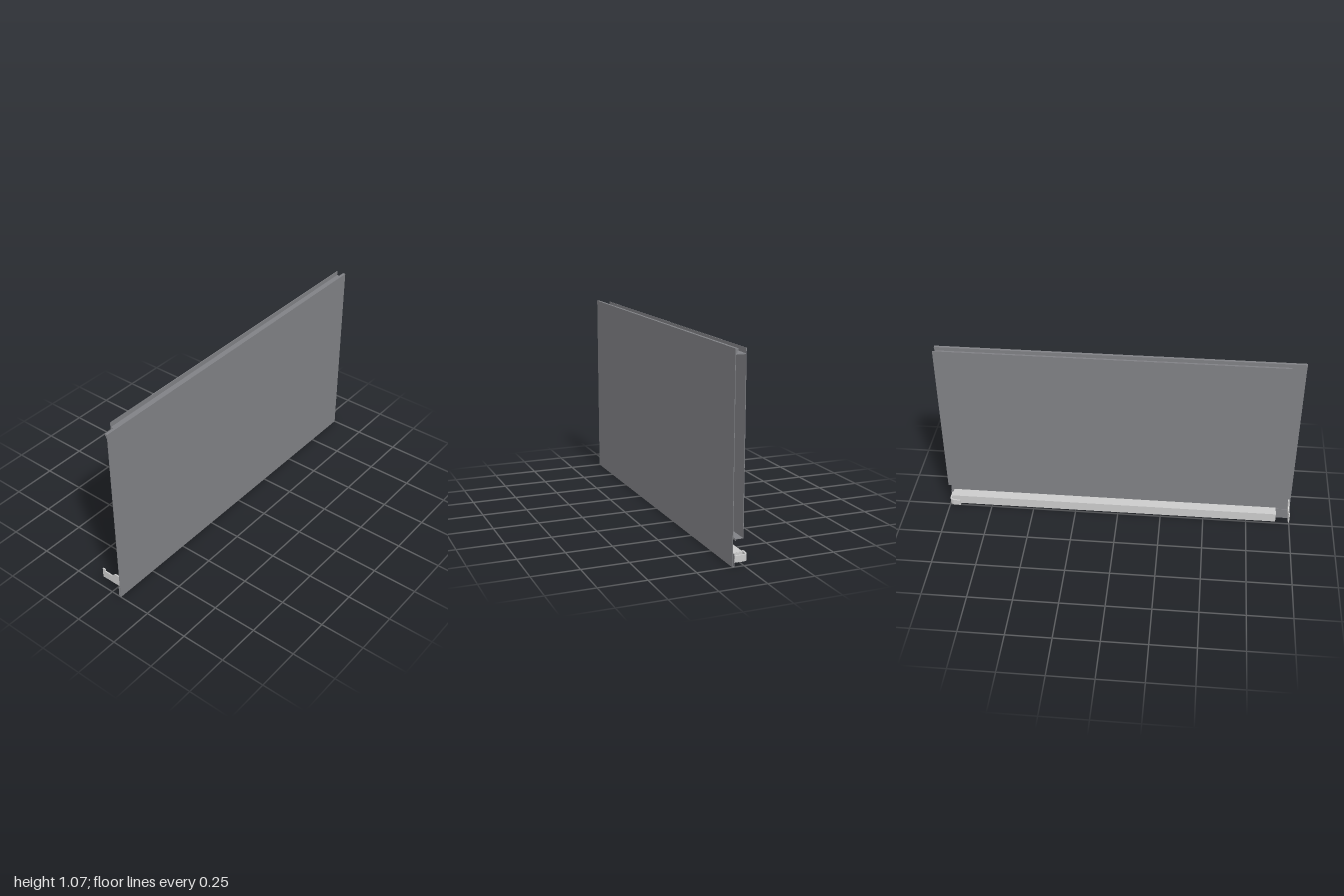
import * as THREE from 'three';

const paint = (color) => new THREE.MeshStandardMaterial({ color, side: THREE.DoubleSide });
const darkPaint = paint(0x808185);
const lightPaint = paint(0xe8e9ea);
const midPaint = paint(0xc2c3c5);

const vectors = (points) => points.map(([x, y]) => new THREE.Vector2(x, y));

// Closed outline of a folded sheet: the polyline plus its mitred offset to the left.
function sheetShape(points, t) {
  const p = vectors(points);
  const last = p.length - 1;
  const normal = (a, b) => new THREE.Vector2(a.y - b.y, b.x - a.x).normalize();
  const offset = p.map((q, i) => {
    const before = Math.max(i - 1, 0);
    const after = Math.min(i, last - 1);
    const m = normal(p[before], p[before + 1]).add(normal(p[after], p[after + 1]));
    return q.clone().addScaledVector(m, (2 * t) / m.lengthSq());
  });
  return new THREE.Shape([...p, ...offset.reverse()]);
}

// Extrude a shape in z from z0 to z1.
function extrude(name, material, shape, z0, z1) {
  const geometry = new THREE.ExtrudeGeometry(shape, { depth: z1 - z0, bevelEnabled: false });
  geometry.translate(0, 0, z0);
  const mesh = new THREE.Mesh(geometry, material);
  mesh.name = name;
  return mesh;
}

export function createModel() {
  const group = new THREE.Group();
  group.name = 'panel';
  const t = 0.003;

  // Outer skin with a folded bottom hem
  group.add(extrude('outerSkin', darkPaint, sheetShape([
    [0.051, 0.065], [0.051, 0], [0.063, 0], [0.063, 1.07],
  ], t), -1, 1));

  // Thick stepped hem along the top edge
  group.add(extrude('topHem', darkPaint, new THREE.Shape(vectors([
    [0.048, 1.07], [0.048, 1.057], [0.053, 1.057], [0.053, 1.046], [0.061, 1.046], [0.061, 1.07],
  ])), -1, 1));

  // Inner skin: tall face with a bottom return and lip, and the top channel floor
  group.add(extrude('innerSkin', darkPaint, sheetShape([
    [0.045, 0.133], [0.045, 0.14], [0.005, 0.14], [0.005, 1.07],
  ], -t), -1, 0.92));
  group.add(extrude('topChannel', darkPaint, sheetShape([
    [0.007, 1.04], [0.061, 1.04],
  ], 0.004), -1, 0.92));

  // Bottom rail: shelf with a down-turned lip
  group.add(extrude('bottomRail', lightPaint, sheetShape([
    [0.06, 0.067], [0, 0.067], [0, 0.012],
  ], t), -0.98, 0.92));

  // Notched bracket plate at the front end
  group.add(extrude('frontBracket', lightPaint, new THREE.Shape(vectors([
    [-0.065, 0.068], [0.061, 0.068], [0.061, 0.135], [0.022, 0.135], [0.001, 0.113],
    [-0.048, 0.113], [-0.048, 0.127], [-0.065, 0.127],
  ])), 0.986, 0.993));

  // Bent hook strip at the back end, drawn in plan as (x, -z)
  const bend = new THREE.CatmullRomCurve3([
    [-0.002, 0.995], [-0.016, 0.99], [-0.025, 0.975], [-0.027, 0.955],
  ].map(([x, y]) => new THREE.Vector3(x, y, 0))).getPoints(8).map((v) => [v.x, v.y]);
  const hook = extrude('rearHook', midPaint, sheetShape([
    [0.048, 0.995], ...bend, [-0.028, 0.93],
  ], 0.009), 0.02, 0.054);
  hook.rotation.x = -Math.PI / 2;
  group.add(hook);

  // Mounting plate closing the back end of the rail
  const plate = new THREE.Mesh(new THREE.BoxGeometry(0.058, 0.046, 0.004), midPaint);
  plate.name = 'hookPlate';
  plate.position.set(0.031, 0.043, -0.982);
  group.add(plate);

  return group;
}
